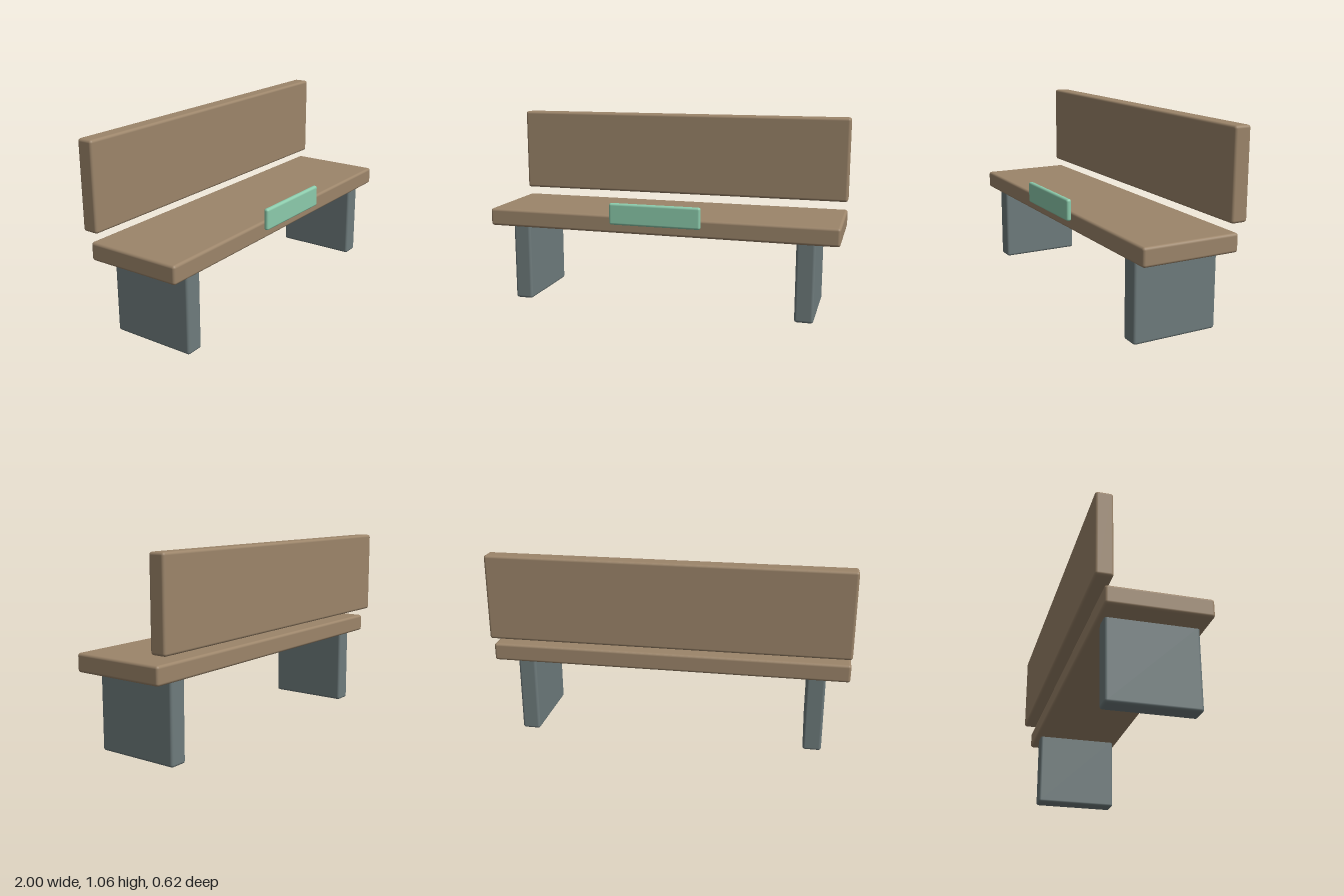
import * as THREE from 'three';
import { RoundedBoxGeometry } from 'three/addons/geometries/RoundedBoxGeometry.js';

export function createModel() {
  const bench = new THREE.Group();
  bench.name = 'bench';

  const material = (name, color) => {
    const m = new THREE.MeshStandardMaterial({ color });
    m.name = name;
    return m;
  };
  const wood = material('wood', 0x9c856a);
  const slate = material('slate', 0x6e7b7c);
  const mint = material('mint', 0x8ccbac);

  // Soft-edged block given by its lower and upper corners
  const block = (name, mat, [x0, y0, z0], [x1, y1, z1], radius) => {
    const geometry = new RoundedBoxGeometry(x1 - x0, y1 - y0, z1 - z0, 3, radius);
    const mesh = new THREE.Mesh(geometry, mat);
    mesh.name = name;
    mesh.position.set((x0 + x1) / 2, (y0 + y1) / 2, (z0 + z1) / 2);
    bench.add(mesh);
  };

  // Seat plank and the backrest floating behind it
  block('seat', wood, [-1, 0.437, -0.262], [1, 0.537, 0.282], 0.015);
  block('backrest', wood, [-1, 0.585, -0.31], [1, 1.065, -0.217], 0.015);

  // Slab legs, running slightly into the seat
  block('leftLeg', slate, [0.769, 0, -0.231], [0.872, 0.455, 0.251], 0.015);
  block('rightLeg', slate, [-0.872, 0, -0.231], [-0.769, 0.455, 0.251], 0.015);

  // Small plaque on the front edge of the seat
  block('plaque', mint, [-0.26, 0.489, 0.281], [0.26, 0.611, 0.31], 0.013);

  return bench;
}
